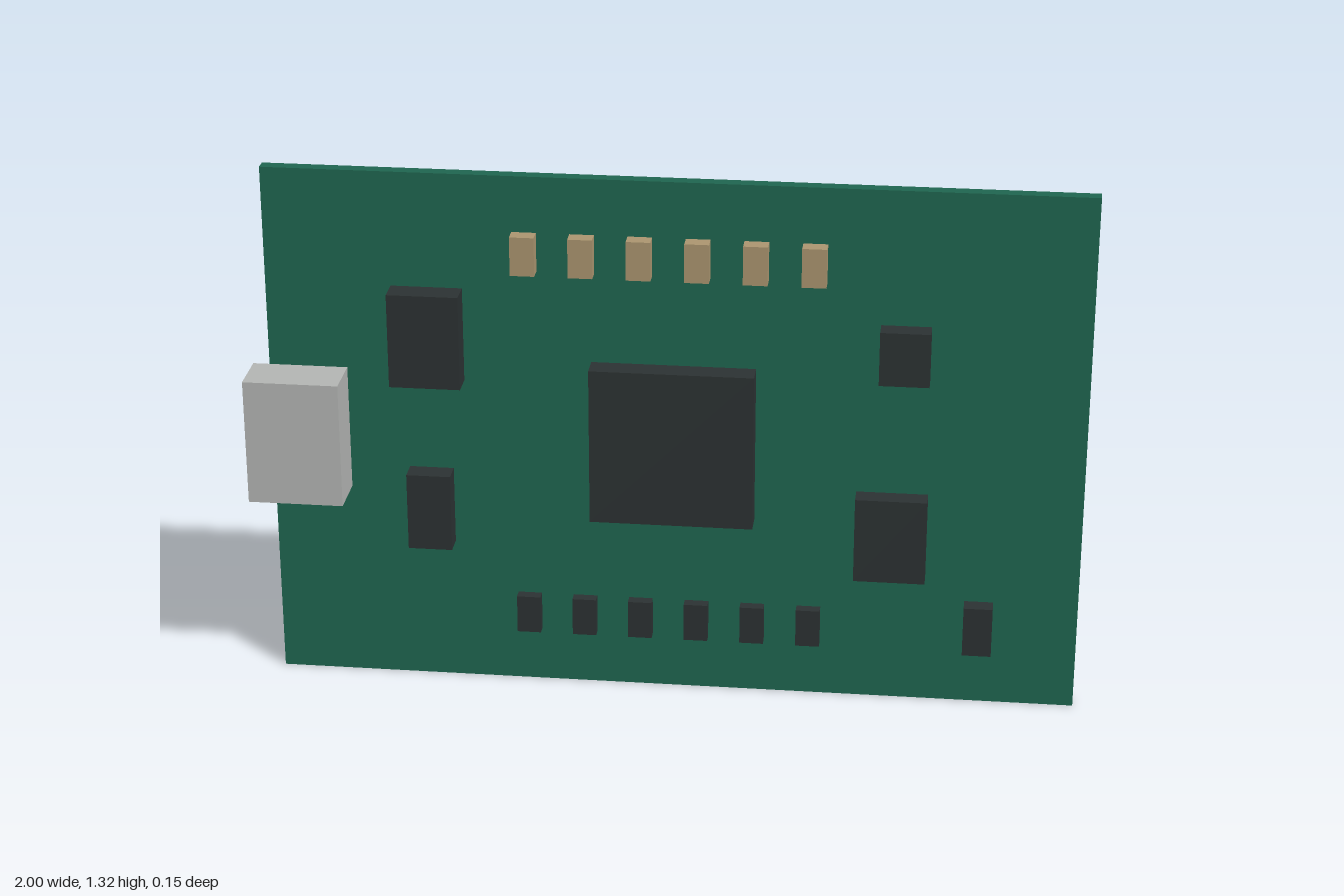
import * as THREE from 'three';

const material = (name, color) => {
  const m = new THREE.MeshStandardMaterial({ color });
  m.name = name;
  return m;
};

export function createModel() {
  const model = new THREE.Group();
  model.name = 'circuitBoard';

  const green = material('boardGreen', 0x1f6650);
  const black = material('chipBlack', 0x2c3233);
  const tan = material('capacitorTan', 0xac9670);
  const silver = material('connectorSilver', 0xb4b6b4);

  const back = -0.075, face = -0.044; // board surfaces

  // Box given by its limits on each axis
  const block = (name, mat, x0, x1, y0, y1, z1, z0 = face) => {
    const mesh = new THREE.Mesh(new THREE.BoxGeometry(x1 - x0, y1 - y0, z1 - z0), mat);
    mesh.position.set((x0 + x1) / 2, (y0 + y1) / 2, (z0 + z1) / 2);
    mesh.name = name;
    model.add(mesh);
  };

  block('board', green, -0.96, 1, 0, 1.315, face, back);

  // Edge connector overhanging the board's right side
  block('connector', silver, -1, -0.77, 0.502, 0.815, 0.075);

  // Chips
  block('mainChip', black, -0.179, 0.214, 0.463, 0.856, 0.014);
  block('upperRightChip', black, -0.657, -0.486, 0.795, 1.03, 0.019);
  block('lowerRightChip', black, -0.625, -0.518, 0.367, 0.562, 0.01);
  block('upperLeftChip', black, 0.506, 0.625, 0.847, 0.981, 0.005);
  block('lowerLeftChip', black, 0.458, 0.63, 0.335, 0.55, 0.006);
  block('cornerChip', black, 0.726, 0.796, 0.144, 0.271, -0.003);

  // Rows of small parts
  for (let i = 0; i < 6; i++) {
    const x = -0.336 + i * 0.137;
    block(`capacitor${i + 1}`, tan, x - 0.029, x + 0.029, 1.081, 1.177, -0.007);
    block(`resistor${i + 1}`, black, x - 0.029, x + 0.029, 0.14, 0.236, -0.017);
  }

  return model;
}
